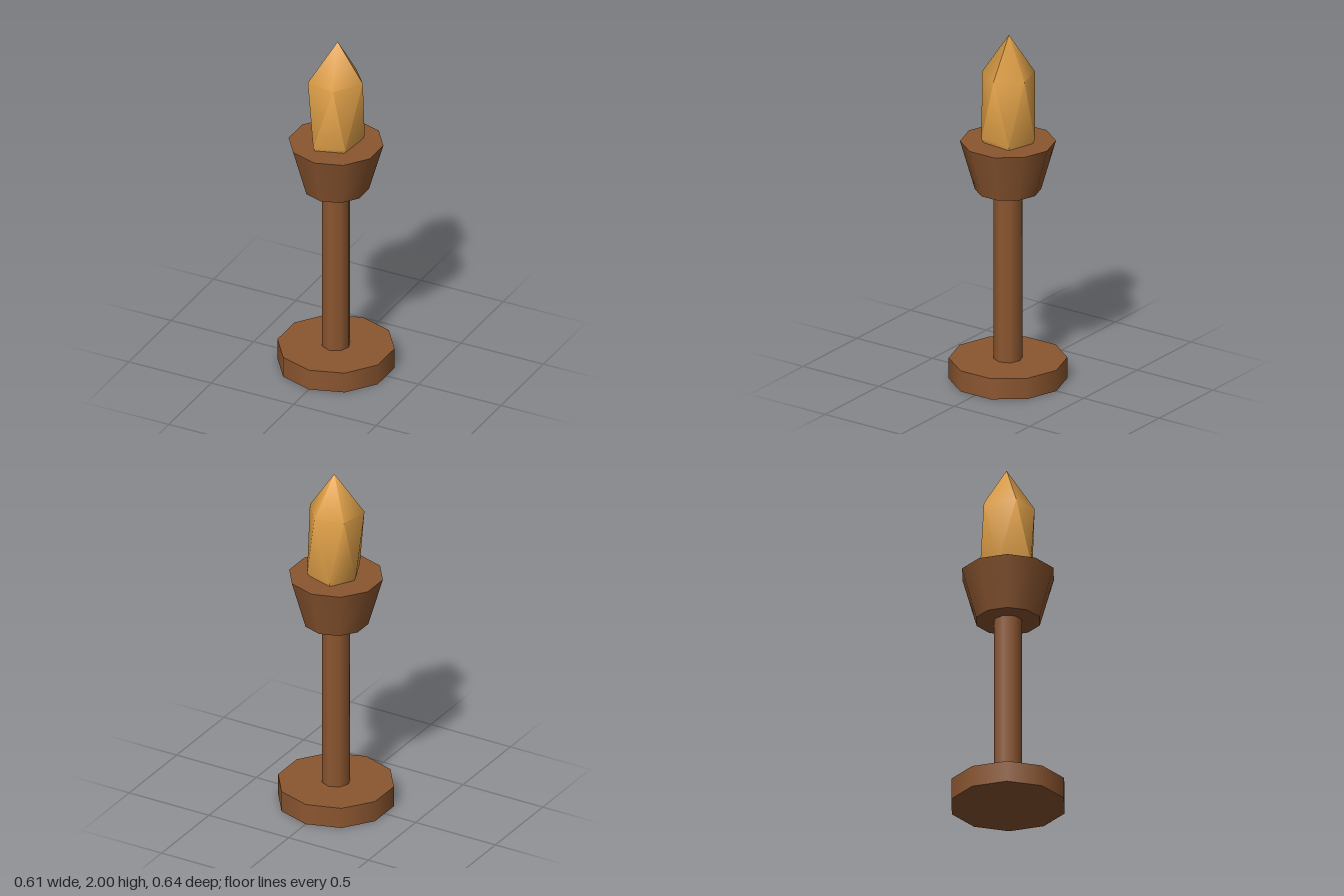
import * as THREE from 'three';
import { toCreasedNormals } from 'three/addons/utils/BufferGeometryUtils.js';

const wood = new THREE.MeshStandardMaterial({ color: 0x8b5630 });
wood.name = 'brown wood';
const amber = new THREE.MeshStandardMaterial({ color: 0xe2a249 });
amber.name = 'amber flame';

// Upright turned piece between two heights
function turned(name, topRadius, bottomRadius, y0, y1, sides) {
  const geometry = new THREE.CylinderGeometry(topRadius, bottomRadius, y1 - y0, sides);
  geometry.translate(0, (y0 + y1) / 2, 0);
  const mesh = new THREE.Mesh(geometry, wood);
  mesh.name = name;
  return mesh;
}

// Stretched, slightly irregular icosahedron: two rings of five plus two tips
function flameGeometry() {
  const tip = [0.005, 2, -0.01];
  const foot = [0, 1.17, 0];
  const upper = [[-0.11, 1.77, -0.1], [-0.125, 1.76, 0.09], [0.05, 1.77, 0.135], [0.155, 1.775, -0.015], [0.05, 1.77, -0.145]];
  const lower = [[-0.13, 1.4, -0.01], [-0.06, 1.4, 0.152], [0.108, 1.4, 0.1], [0.125, 1.4, -0.095], [-0.045, 1.4, -0.145]];
  const points = [];
  for (let i = 0; i < 5; i++) {
    const j = (i + 1) % 5;
    points.push(
      tip, upper[i], upper[j],
      upper[i], lower[i], upper[j],
      lower[i], lower[j], upper[j],
      foot, lower[j], lower[i]
    );
  }
  const geometry = new THREE.BufferGeometry();
  geometry.setAttribute('position', new THREE.Float32BufferAttribute(points.flat(), 3));
  return toCreasedNormals(geometry, 1.09);
}

export function createModel() {
  const group = new THREE.Group();
  group.name = 'torchStand';

  group.add(turned('base', 0.32, 0.32, 0, 0.12, 10));
  group.add(turned('post', 0.079, 0.079, 0.12, 1.1, 8));
  group.add(turned('cup', 0.259, 0.179, 1.1, 1.38, 10));

  const flame = new THREE.Mesh(flameGeometry(), amber);
  flame.name = 'flame';
  group.add(flame);
  return group;
}
